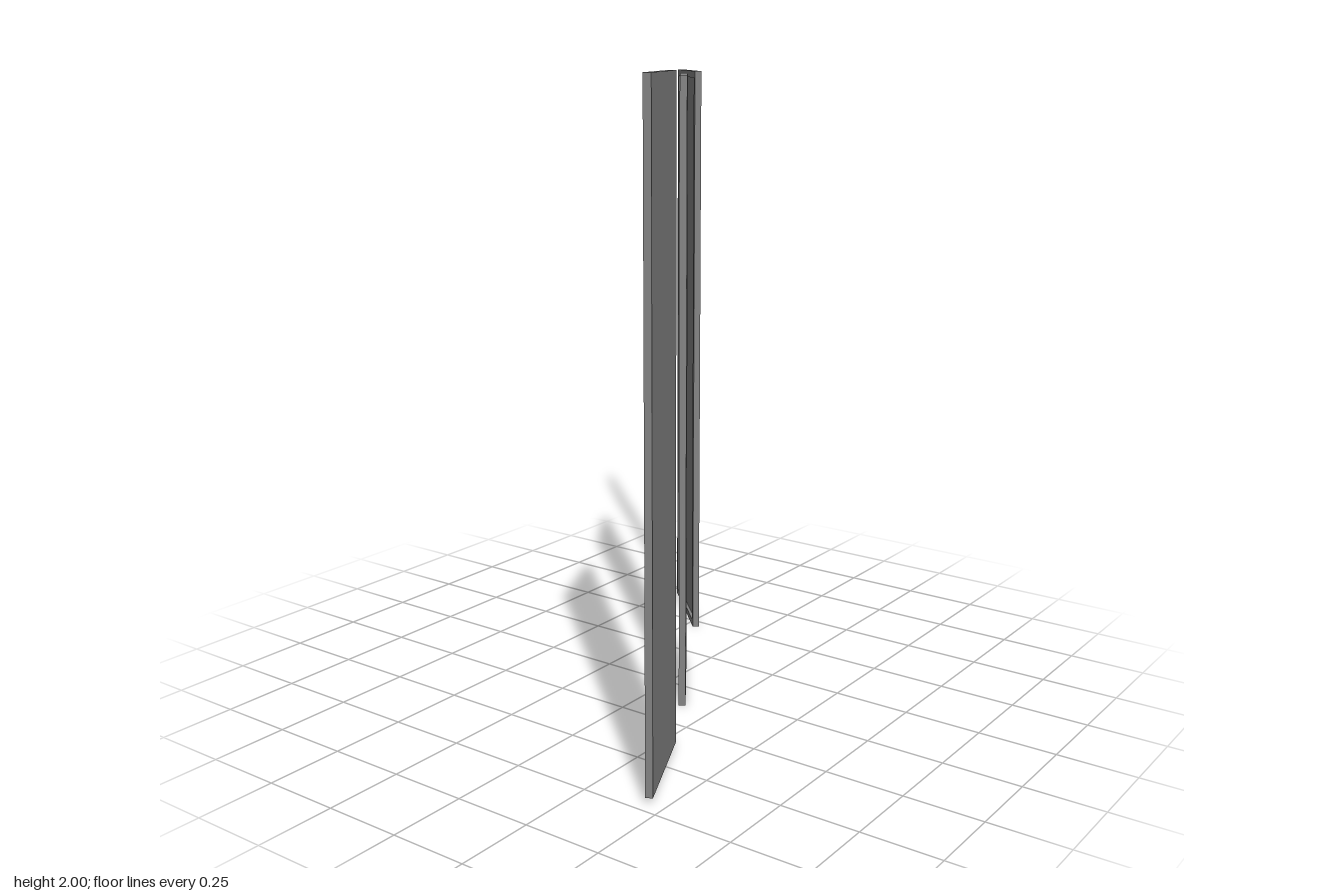
import * as THREE from 'three';

const WIDTH = 0.355, HEIGHT = 1.98, THICK = 0.022, BORDER = 0.022, RECESS = 0.01;

function rectangle(target, w, h) {
  target.moveTo(-w / 2, -h / 2);
  target.lineTo(w / 2, -h / 2);
  target.lineTo(w / 2, h / 2);
  target.lineTo(-w / 2, h / 2);
  target.closePath();
  return target;
}

// Upright panel: plain slab with a thin raised rim around its front face
function createPanel(material) {
  const panel = new THREE.Group();

  const slab = new THREE.Mesh(new THREE.BoxGeometry(WIDTH, HEIGHT, THICK - RECESS), material);
  slab.name = 'panelSlab';
  slab.position.z = -RECESS / 2;

  const outline = rectangle(new THREE.Shape(), WIDTH, HEIGHT);
  outline.holes.push(rectangle(new THREE.Path(), WIDTH - 2 * BORDER, HEIGHT - 2 * BORDER));
  const rim = new THREE.Mesh(
    new THREE.ExtrudeGeometry(outline, { depth: RECESS, bevelEnabled: false }), material);
  rim.name = 'panelRim';
  rim.position.z = THICK / 2 - RECESS;

  panel.add(slab, rim);
  return panel;
}

export function createModel() {
  const model = new THREE.Group();
  model.name = 'panels';
  const material = new THREE.MeshStandardMaterial({ color: 0x848484, flatShading: true });

  // Three panels in a staggered row, each turned a little further
  const layout = [
    { name: 'backPanel', x: -0.335, y: 0, z: -0.581, turn: 45 },
    { name: 'middlePanel', x: 0.044, y: 0, z: -0.019, turn: 55 },
    { name: 'frontPanel', x: 0.376, y: 0.02, z: 0.553, turn: 64.5 },
  ];
  for (const { name, x, y, z, turn } of layout) {
    const panel = createPanel(material);
    panel.name = name;
    panel.position.set(x, y + HEIGHT / 2, z);
    panel.rotation.y = -THREE.MathUtils.degToRad(turn);
    model.add(panel);
  }
  return model;
}
